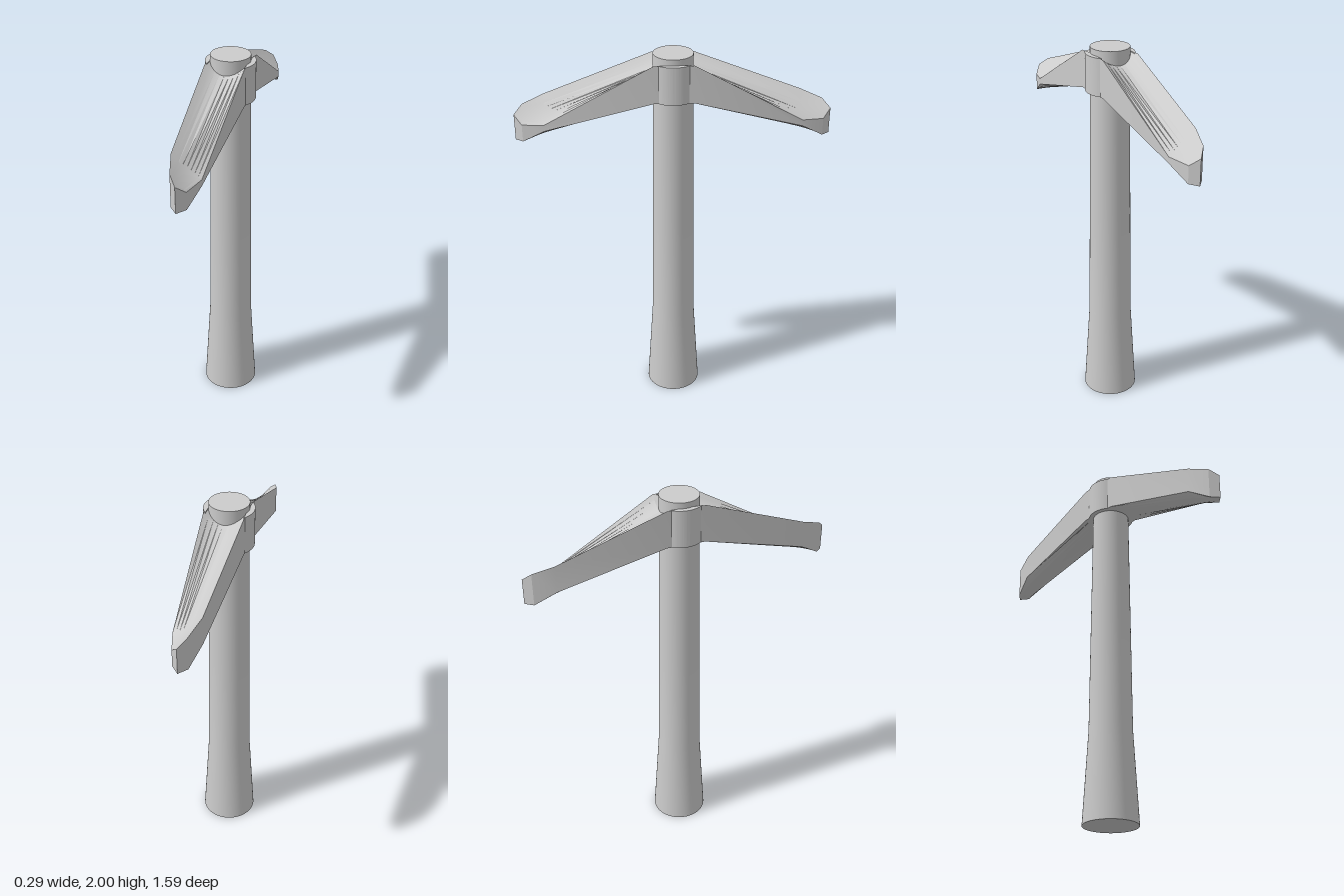
import * as THREE from 'three';
import { toCreasedNormals } from 'three/addons/utils/BufferGeometryUtils.js';

const material = new THREE.MeshStandardMaterial({ color: 0xcccccc });

function part(name, geometry) {
  const mesh = new THREE.Mesh(geometry, material);
  mesh.name = name;
  return mesh;
}

// Half of the head: z, half width, top at -x, top at +x, scoop of the top,
// bottom at both edges, drop of the keel
const sections = [
  [0.1, 0.1, 1.97, 1.97, 0.045, 1.775, 0],
  [0.645, 0.072, 1.77, 1.66, 0.012, 1.628, 0.03],
  [0.755, 0.038, 1.73, 1.65, 0, 1.56, 0],
  [0.795, 0, 1.69, 1.69, 0, 1.555, 0],
];

// Closed ring of one section: along the top to +x, back along the bottom
function ring([z, w, topL, topR, scoop, bottom, keel], side) {
  const n = 8, points = [];
  for (let i = 0; i <= n; i++) {
    const t = i / n, bulge = 4 * t * (1 - t);
    points.push([w * (2 * t - 1), topL + (topR - topL) * t - scoop * bulge, z * side]);
  }
  for (let i = n; i >= 0; i--) {
    const t = i / n, bulge = 4 * t * (1 - t);
    points.push([w * (2 * t - 1), bottom - keel * bulge, z * side]);
  }
  return points;
}

function headGeometry() {
  const rings = [
    ...[...sections].reverse().map((s) => ring(s, -1)),
    ...sections.map((s) => ring(s, 1)),
  ];
  const count = rings[0].length, index = [];
  for (let i = 0; i < rings.length - 1; i++) {
    for (let j = 0; j < count; j++) {
      const k = (j + 1) % count;
      const a = i * count + j, b = i * count + k;
      const d = a + count, c = b + count;
      index.push(a, d, b, b, d, c);
    }
  }
  const geometry = new THREE.BufferGeometry();
  geometry.setAttribute('position', new THREE.Float32BufferAttribute(rings.flat(2), 3));
  geometry.setIndex(index);
  return toCreasedNormals(geometry, 0.4);
}

// Rounded cheek on the side of the head, a slice of a cylinder
function cheekGeometry() {
  const angle = 0.72;
  const shape = new THREE.Shape();
  shape.absarc(0, 0, 0.125, -angle, angle, false);
  shape.closePath();
  const geometry = new THREE.ExtrudeGeometry(shape, { depth: 0.195, bevelEnabled: false, curveSegments: 16 });
  geometry.rotateX(-Math.PI / 2);
  geometry.translate(0, 1.775, 0);
  return toCreasedNormals(geometry, 0.5);
}

export function createModel() {
  const model = new THREE.Group();
  model.name = 'pickaxe';

  // Handle flaring towards the foot
  const profile = [[0, 0], [0.145, 0], [0.115, 0.5], [0.108, 1.1], [0.1, 1.78], [0.1, 2], [0, 2]]
    .map(([r, y]) => new THREE.Vector2(r, y));
  model.add(part('handle', toCreasedNormals(new THREE.LatheGeometry(profile, 48), 0.5)));

  // Double-pointed head
  model.add(part('head', headGeometry()));

  // Cheeks left and right of the handle
  const left = part('leftCheek', cheekGeometry());
  const right = part('rightCheek', cheekGeometry());
  right.rotation.y = Math.PI;
  model.add(left, right);

  return model;
}
